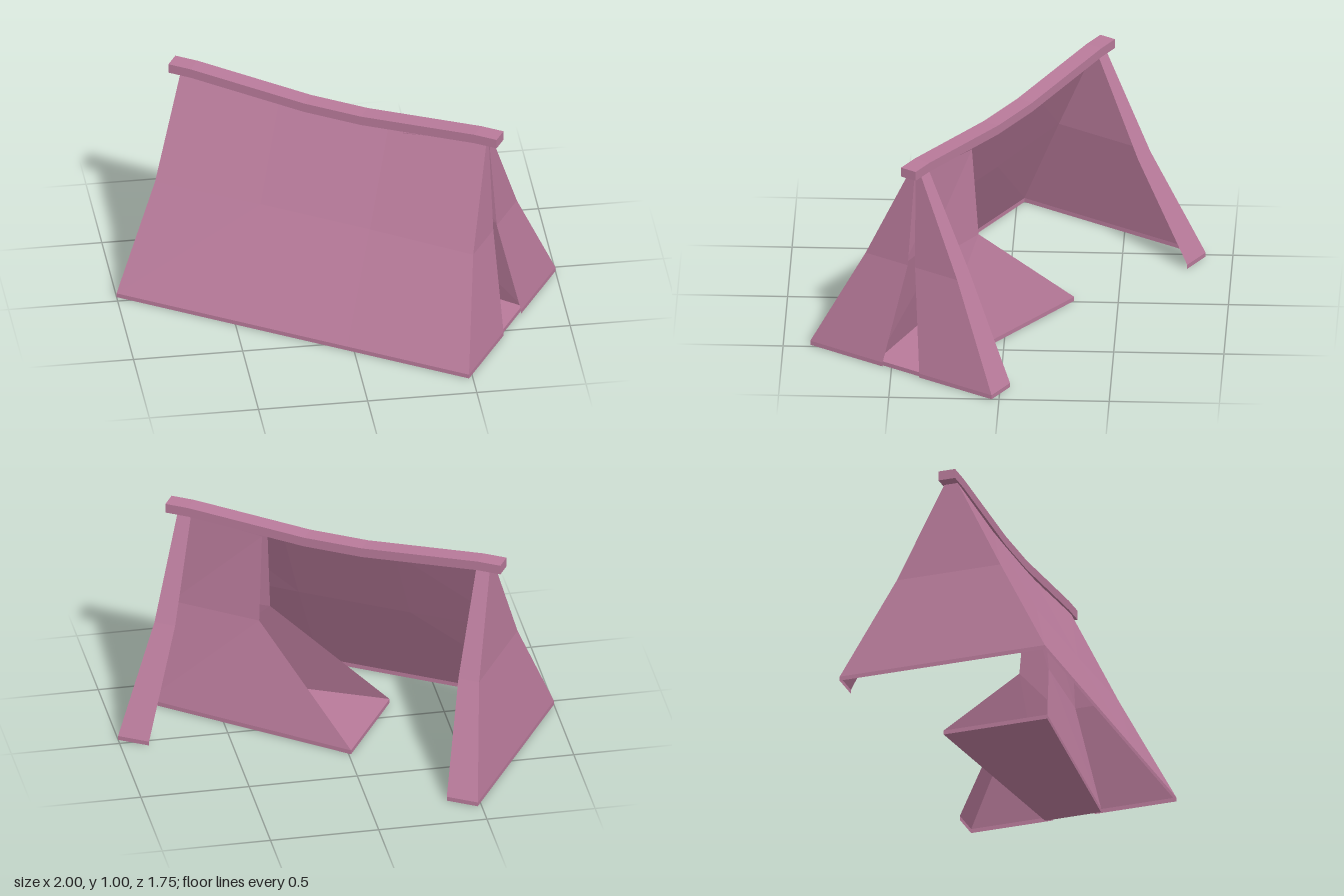
import * as THREE from 'three';

const cloth = new THREE.MeshStandardMaterial({ color: 0xb87a9a, flatShading: true, side: THREE.DoubleSide });

// Sheet of cloth from rows of [x, y, z] points, all rows of equal length
function sheet(name, rows) {
  const pos = rows.flat(2), n = rows[0].length, index = [];
  for (let r = 0; r < rows.length - 1; r++) {
    for (let c = 0; c < n - 1; c++) {
      const a = r * n + c, b = a + n;
      index.push(a, b, a + 1, a + 1, b, b + 1);
    }
  }
  const indexed = new THREE.BufferGeometry();
  indexed.setAttribute('position', new THREE.Float32BufferAttribute(pos, 3));
  indexed.setIndex(index);
  const geo = indexed.toNonIndexed();
  geo.computeVertexNormals();
  const mesh = new THREE.Mesh(geo, cloth);
  mesh.name = name;
  return mesh;
}

// Corner line of the tent from top to hem: [half length, height, half depth]
const corner = [[0.755, 0.96, 0.03], [0.785, 0.5, 0.25], [0.87, 0.02, 0.495], [0.87, 0, 0.495]];

export function createModel() {
  const model = new THREE.Group();
  const tent = new THREE.Group();
  tent.name = 'tent';
  tent.rotation.y = -0.551;
  model.add(tent);

  // Sagging ridge cover
  const stations = [[-0.81, 1], [-0.7, 1], [-0.14, 0.957], [0.14, 0.957], [0.7, 1], [0.81, 1]];
  tent.add(sheet('ridgeCover', stations.map(([x, y]) =>
    [[0, 0.04], [0, -0.04], [-0.045, -0.04], [-0.045, 0.04], [0, 0.04]].map(([dy, z]) => [x, y + dy, z]))));
  for (const [x, y] of [stations[0], stations[5]]) {
    tent.add(sheet('ridgeEnd', [y, y - 0.045].map(h => [[x, h, -0.04], [x, h, 0.04]])));
  }

  // Closed long wall, slightly slack in the middle
  tent.add(sheet('longWall', corner.map(([x, y, z], i) => {
    const midY = i === 0 ? 0.92 : y, midZ = i === 1 ? z - 0.012 : z;
    return [[-x, y, z], [-0.27, midY, midZ], [0.27, midY, midZ], [x, y, z]];
  })));

  // Narrow strips framing the open long side
  const stripEdge = [0.69, 0.685, 0.72, 0.72];
  for (const s of [-1, 1]) {
    tent.add(sheet('openSideStrip', corner.map(([x, y, z], i) => [[s * x, y, -z], [s * stripEdge[i], y, -z]])));
  }

  // Closed end, and the entrance end with a slit between two panels
  tent.add(sheet('closedEnd', corner.map(([x, y, z]) => [[-x, y, -z], [-x, y, z]])));
  const slit = [0.002, 0.02, 0.1, 0.1];
  for (const s of [-1, 1]) {
    tent.add(sheet('entrancePanel', corner.map(([x, y, z], i) => [[x, y, s * z], [x, y, s * slit[i]]])));
  }

  // Inner lining, mirrored on both sides of the ridge
  for (const s of [-1, 1]) {
    tent.add(sheet('innerLining', [
      [[0.755, 0.96, s * 0.025], [0.345, 0.92, s * 0.035]],
      [[0.78, 0.5, s * 0.04], [0.345, 0.5, s * 0.071]],
      [[0.86, 0.02, s * 0.135], [-0.166, 0.02, s * 0.25]],
    ]));
  }

  // Groundsheet under the lining
  const outline = new THREE.Shape([[0.86, 0.135], [-0.166, 0.25], [-0.166, -0.25], [0.86, -0.135]]
    .map(([x, z]) => new THREE.Vector2(x, z)));
  const floorGeo = new THREE.ExtrudeGeometry(outline, { depth: 0.02, bevelEnabled: false });
  floorGeo.rotateX(-Math.PI / 2);
  const floor = new THREE.Mesh(floorGeo, cloth);
  floor.name = 'groundsheet';
  tent.add(floor);

  return model;
}
